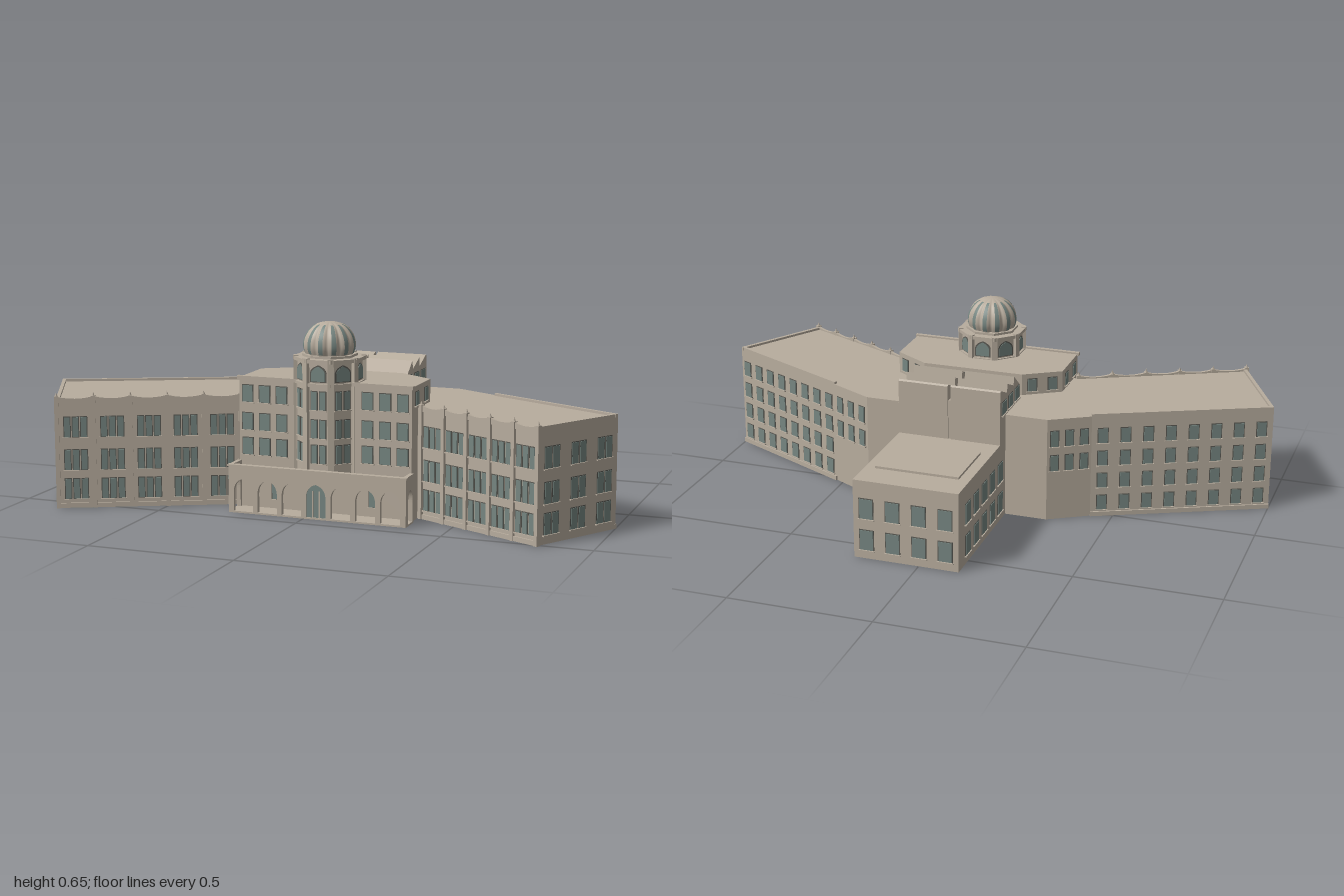
import * as THREE from 'three';

const stone = new THREE.MeshStandardMaterial({ color: 0xb8ad9e });
stone.name = 'stone';
const glass = new THREE.MeshStandardMaterial({ color: 0x768681 });
glass.name = 'windowGlass';
const glassOpen = new THREE.MeshStandardMaterial({ color: 0x5c5b55 });
glassOpen.name = 'darkFrame';
const CX = 0.045; // axis of the central block
const TZ = 0.303; // tower centre depth

function add(parent, name, geo, mat = stone) {
  const m = new THREE.Mesh(geo, mat);
  m.name = name;
  parent.add(m);
  return m;
}

function box(parent, name, w, h, d, x, y, z, mat = stone) {
  const m = add(parent, name, new THREE.BoxGeometry(w, h, d), mat);
  m.position.set(x, y, z);
  return m;
}

// Upright solid over a ground plan of [x, z] corners
function prism(parent, name, plan, y0, y1) {
  const shape = new THREE.Shape(plan.map(([x, z]) => new THREE.Vector2(x, -z)));
  const geo = new THREE.ExtrudeGeometry(shape, { depth: y1 - y0, bevelEnabled: false });
  geo.rotateX(-Math.PI / 2).translate(0, y0, 0);
  return add(parent, name, geo);
}

// Local frame on a wall: x runs from a to b (left to right seen from outside), z points out
function wall(parent, name, a, b) {
  const g = new THREE.Group();
  g.name = name;
  g.position.set(a[0], 0, a[1]);
  g.rotation.y = Math.atan2(a[1] - b[1], b[0] - a[0]);
  g.userData.length = Math.hypot(b[0] - a[0], b[1] - a[1]);
  parent.add(g);
  return g;
}

function pane(g, x, y, w, h) {
  box(g, 'windowFrame', w + 0.006, h + 0.006, 0.004, x, y, 0, glassOpen);
  box(g, 'window', w, h, 0.008, x, y, 0, glass);
  box(g, 'windowSill', w + 0.012, 0.004, 0.014, x, y - h / 2 - 0.003, 0);
}

// Evenly spaced columns of windows; each may be split into several lights
function windows(g, columns, rows, w, h, { from = 0, to = g.userData.length, lights = 1 } = {}) {
  const pitch = (to - from) / columns;
  for (let i = 0; i < columns; i++)
    for (const y of rows)
      for (let k = 0; k < lights; k++)
        pane(g, from + (i + 0.5) * pitch + (k - (lights - 1) / 2) * (w + 0.009), y, w, h);
}

function archPath(path, x, w, y0, spring, top) {
  path.moveTo(x - w / 2, y0);
  path.lineTo(x + w / 2, y0);
  path.lineTo(x + w / 2, spring);
  path.quadraticCurveTo(x + w / 2, top - 0.01, x, top);
  path.quadraticCurveTo(x - w / 2, top - 0.01, x - w / 2, spring);
  path.closePath();
  return path;
}

function arcade(parent, name, width, height, centres, w) {
  const s = new THREE.Shape();
  s.moveTo(0, 0).lineTo(width, 0).lineTo(width, height).lineTo(0, height).closePath();
  for (const x of centres) s.holes.push(archPath(new THREE.Path(), x, w, 0.006, 0.07, 0.118));
  return add(parent, name, new THREE.ExtrudeGeometry(s, { depth: 0.014, bevelEnabled: false, curveSegments: 8 }));
}

// Wing front: pilasters with finials, scalloped parapet and grouped windows
function wingFront(parent, a, b) {
  const g = wall(parent, 'wingFront', a, b), bays = 5, pitch = g.userData.length / bays;
  windows(g, bays, [0.065, 0.165, 0.278], 0.019, 0.068, { lights: 3 });
  for (let i = 0; i <= bays; i++) {
    box(g, 'pilaster', 0.014, 0.385, 0.016, i * pitch, 0.1925, 0.002);
    const f = add(g, 'finial', new THREE.ConeGeometry(0.006, 0.014, 6));
    f.position.set(i * pitch, 0.391, 0.002);
    if (i === bays) continue;
    const s = new THREE.Shape();
    s.moveTo(0, 0.362).lineTo(pitch, 0.362).lineTo(pitch, 0.384);
    s.quadraticCurveTo(pitch / 2, 0.368, 0, 0.384);
    const p = add(g, 'parapet', new THREE.ExtrudeGeometry(s, { depth: 0.01, bevelEnabled: false, curveSegments: 6 }));
    p.position.set(i * pitch, 0, -0.005);
  }
  box(g, 'plinth', g.userData.length, 0.016, 0.012, g.userData.length / 2, 0.008, 0);
}

function wingBack(parent, a, b) {
  const g = wall(parent, 'wingBack', a, b), L = g.userData.length;
  windows(g, 8, [0.05, 0.133, 0.216, 0.3], 0.032, 0.052);
  box(g, 'plinth', L, 0.016, 0.012, L / 2, 0.008, 0);
  box(g, 'backParapet', L, 0.01, 0.012, L / 2, 0.375, -0.006);
}

function buildWings(root) {
  const p = {
    le: [-1, 0.24], lf: [-0.835, 0.583], li: [-0.28, 0.31], ri: [0.366, 0.294], rf: [0.82, 0.508],
    re: [1, 0.203], rb: [0.527, -0.027], rc: [0.37, -0.107], lc: [-0.29, -0.107], lb: [-0.425, -0.027],
  };
  prism(root, 'wings', Object.values(p), 0, 0.372);
  wingFront(root, p.lf, p.li);
  wingFront(root, p.ri, p.rf);
  wingBack(root, p.re, p.rb);
  wingBack(root, p.lb, p.le);
  for (const [a, b] of [[p.le, p.lf], [p.rf, p.re]]) {
    const g = wall(root, 'wingEnd', a, b), L = g.userData.length;
    windows(g, 3, [0.065, 0.165, 0.278], 0.026, 0.068, { lights: 2 });
    box(g, 'endParapet', L, 0.01, 0.012, L / 2, 0.375, -0.006);
  }
  for (const [a, b] of [[p.rb, p.rc], [p.lc, p.lb]])
    windows(wall(root, 'cornerWall', a, b), 3, [0.21, 0.3], 0.026, 0.056);
}

function buildCentre(root) {
  const plan = [[-0.262, 0.355], [0.352, 0.355], [0.352, 0.166], [0.227, 0.088], [-0.137, 0.088], [-0.262, 0.166]];
  prism(root, 'centralBlock', plan, 0, 0.449);
  const front = wall(root, 'centralFront', plan[0], plan[1]);
  for (const [from, to] of [[0, 0.185], [0.429, 0.614]])
    windows(front, 3, [0.215, 0.3, 0.395], 0.036, 0.056, { from, to });
  box(front, 'cornice', 0.626, 0.012, 0.014, 0.307, 0.449, 0);
  // Upper storey showing above the wing roofs
  for (const [i, n] of [[1, 2], [2, 2], [3, 4], [4, 2], [5, 2]])
    windows(wall(root, 'upperWall', plan[i], plan[(i + 1) % 6]), n, [0.407], 0.03, 0.044);

  // Open arcaded porch
  const porch = new THREE.Group();
  porch.name = 'porch';
  porch.position.set(-0.27, 0, 0.355);
  root.add(porch);
  const centres = Array.from({ length: 7 }, (_, i) => 0.315 + (i - 3) * 0.087);
  arcade(porch, 'porchArcade', 0.63, 0.165, centres, 0.07).position.z = 0.066;
  for (const x of [0, 0.616]) {
    const side = arcade(porch, 'porchSide', 0.07, 0.165, [0.035], 0.046);
    side.rotation.y = Math.PI / 2;
    side.position.set(x, 0, 0.07);
  }
  box(porch, 'porchRoof', 0.626, 0.012, 0.07, 0.315, 0.144, 0.035);
  box(porch, 'porchFloor', 0.626, 0.006, 0.07, 0.315, 0.003, 0.035);
  box(porch, 'porchMoulding', 0.636, 0.006, 0.02, 0.315, 0.162, 0.073);
  for (const x of [centres[1], centres[5]]) pane(porch, x, 0.07, 0.028, 0.062);
  const door = archPath(new THREE.Shape(), centres[3], 0.07, 0.006, 0.07, 0.118);
  add(porch, 'entranceDoor', new THREE.ExtrudeGeometry(door, { depth: 0.006, bevelEnabled: false }), glass).position.z = 0.07;
  for (const dx of [-0.012, 0.012]) box(porch, 'doorPost', 0.004, 0.09, 0.01, centres[3] + dx, 0.051, 0.073);
}

function buildTower(root) {
  const tower = new THREE.Group();
  tower.name = 'tower';
  tower.position.set(CX, 0, TZ);
  root.add(tower);
  const octagon = (name, apothem, y0, y1) => {
    const r = apothem / Math.cos(Math.PI / 8);
    const geo = new THREE.CylinderGeometry(r, r, y1 - y0, 8, 1, false, Math.PI / 8).toNonIndexed();
    geo.computeVertexNormals();
    add(tower, name, geo).position.y = (y0 + y1) / 2;
  };
  octagon('towerShaft', 0.104, 0.14, 0.525);
  octagon('towerBand', 0.112, 0.442, 0.452);
  octagon('towerCornice', 0.114, 0.52, 0.532);
  octagon('domeBase', 0.086, 0.53, 0.54);
  for (let i = 0; i < 8; i++) {
    const face = new THREE.Group();
    face.name = 'towerFace';
    face.rotation.y = i * Math.PI / 4;
    tower.add(face);
    const side = new THREE.Group();
    side.name = 'towerOpenings';
    side.position.z = 0.104;
    face.add(side);
    const frame = archPath(new THREE.Shape(), 0, 0.058, 0.457, 0.485, 0.514);
    add(side, 'archFrame', new THREE.ExtrudeGeometry(frame, { depth: 0.003, bevelEnabled: false }), glassOpen);
    const arch = archPath(new THREE.Shape(), 0, 0.048, 0.46, 0.485, 0.51);
    add(side, 'archWindow', new THREE.ExtrudeGeometry(arch, { depth: 0.005, bevelEnabled: false }), glass);
    if (i < 2 || i === 7)
      for (const y of [0.215, 0.3, 0.395])
        for (const x of [-0.015, 0.015]) pane(side, x, y, 0.019, 0.06);
    // Corner pilaster
    const corner = new THREE.Group();
    corner.name = 'towerCorner';
    corner.rotation.y = Math.PI / 8;
    face.add(corner);
    box(corner, 'cornerPilaster', 0.02, 0.395, 0.016, 0, 0.3375, 0.113);
  }

  // Lobed dome with a glazed strip on each lobe
  const profile = new THREE.SplineCurve([[0.08, 0.538], [0.088, 0.566], [0.081, 0.6], [0.058, 0.63], [0.028, 0.643], [0, 0.646]]
    .map(([r, y]) => new THREE.Vector2(r, y))).getPoints(20);
  profile[20].x = 0;
  const geo = new THREE.LatheGeometry(profile, 120);
  const pos = geo.attributes.position;
  for (let i = 0; i < pos.count; i++) {
    const x = pos.getX(i), z = pos.getZ(i);
    const k = 0.9 + 0.1 * Math.abs(Math.cos(6 * Math.atan2(x, z)));
    pos.setXYZ(i, x * k, pos.getY(i), z * k);
  }
  geo.computeVertexNormals();
  add(tower, 'dome', geo);
  const strip = profile.slice(1, 15).map(p => new THREE.Vector2(p.x + 0.001, p.y + 0.0005));
  for (let i = 0; i < 12; i++)
    add(tower, 'domeGlazing', new THREE.LatheGeometry(strip, 3, i * Math.PI / 6 - 0.09, 0.18), glass);
}

function buildRear(root) {
  const x0 = -0.14, x1 = 0.228, zb = -0.592;
  prism(root, 'rearWing', [[x0, -0.1], [x1, -0.1], [x1, zb], [x0, zb]], 0, 0.28);
  box(root, 'rearRoofSlab', 0.294, 0.008, 0.224, CX, 0.284, -0.37);
  const rows = [0.067, 0.18];
  windows(wall(root, 'rearRightWall', [x1, -0.125], [x1, -0.546]), 5, rows, 0.046, 0.07);
  windows(wall(root, 'rearLeftWall', [x0, -0.546], [x0, -0.125]), 5, rows, 0.046, 0.07);
  windows(wall(root, 'rearBackWall', [x1, zb], [x0, zb]), 4, rows, 0.046, 0.07);

  // Sawtooth skylight roof in two halves
  const tooth = new THREE.Shape();
  tooth.moveTo(-0.055, 0.27).lineTo(-0.055, 0.424);
  for (let i = 0; i < 3; i++) {
    const u = -0.055 + (i + 1) * 0.0733;
    tooth.lineTo(u - 0.006, 0.477);
    tooth.lineTo(u, i < 2 ? 0.447 : 0.472);
  }
  tooth.lineTo(0.165, 0.27).closePath();
  for (const x of [x0, CX + 0.004]) {
    const geo = new THREE.ExtrudeGeometry(tooth, { depth: 0.179, bevelEnabled: false });
    add(root, 'sawtoothRoof', geo.rotateY(Math.PI / 2)).position.x = x;
  }
  prism(root, 'sawtoothValley', [[CX - 0.006, 0.05], [CX + 0.006, 0.05], [CX + 0.006, -0.16], [CX - 0.006, -0.16]], 0.27, 0.42);
  windows(wall(root, 'sawtoothRightWall', [x1, 0.05], [x1, -0.16]), 3, [0.407], 0.042, 0.044);
  windows(wall(root, 'sawtoothLeftWall', [x0, -0.16], [x0, 0.05]), 3, [0.407], 0.042, 0.044);
}

export function createModel() {
  const root = new THREE.Group();
  root.name = 'domedBuilding';
  buildWings(root);
  buildCentre(root);
  buildTower(root);
  buildRear(root);
  return root;
}
